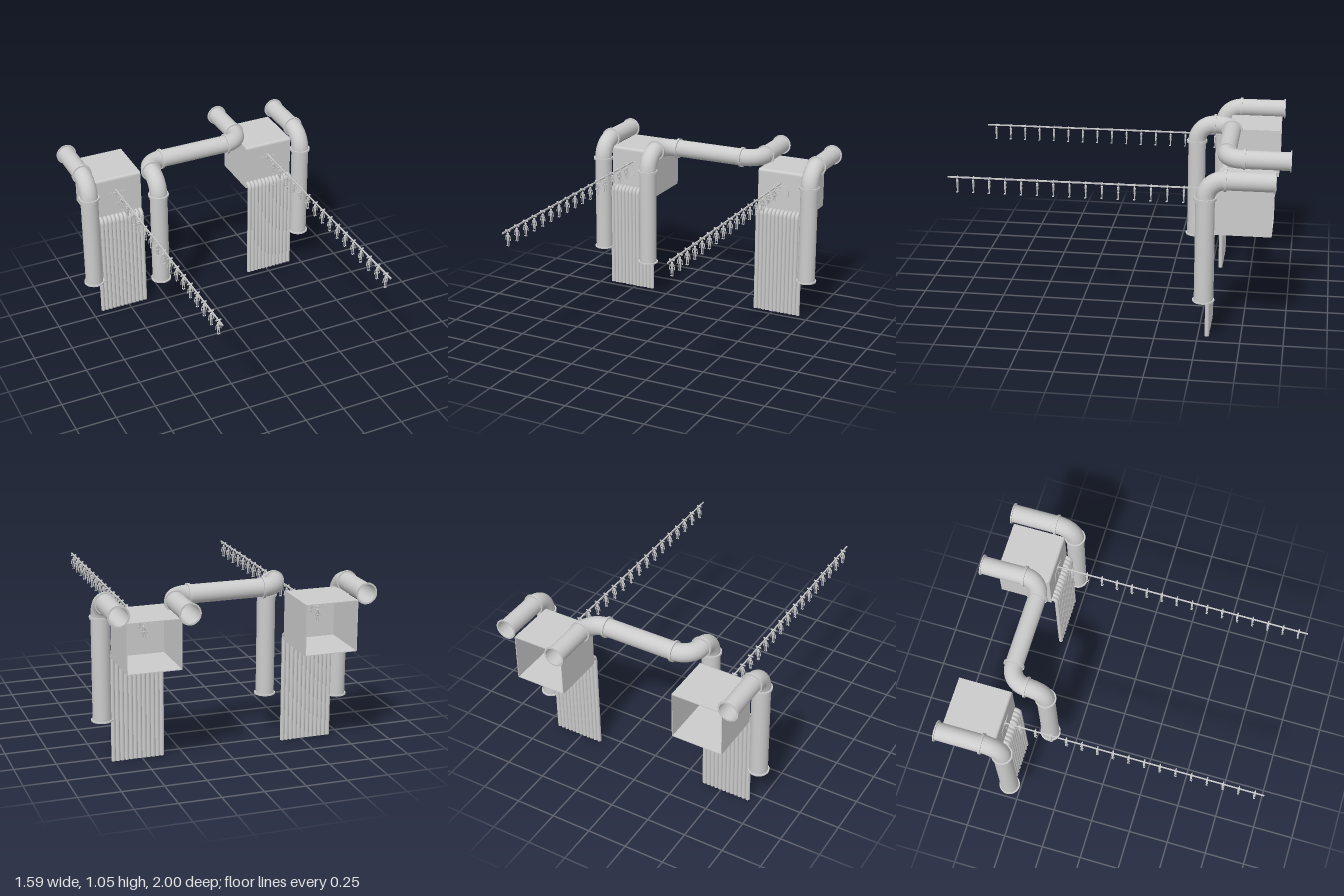
import * as THREE from 'three';

const grey = new THREE.MeshStandardMaterial({ color: 0xcccccc, side: THREE.DoubleSide });
const UP = new THREE.Vector3(0, 1, 0);
const V = (x, y, z) => new THREE.Vector3(x, y, z);

function add(parent, name, geometry, x = 0, y = 0, z = 0) {
  const mesh = new THREE.Mesh(geometry, grey);
  mesh.name = name;
  mesh.position.set(x, y, z);
  parent.add(mesh);
  return mesh;
}

function subgroup(parent, name, x = 0, y = 0, z = 0) {
  const g = new THREE.Group();
  g.name = name;
  g.position.set(x, y, z);
  parent.add(g);
  return g;
}

// Hollow duct: straight runs, rounded elbows and a flange at the end of every run
const R = 0.055, BEND = 0.112;
function duct(parent, name, points) {
  const g = subgroup(parent, name);
  const last = points.length - 1;
  const flange = (at, dir, h) => {
    const profile = [[0.054, -h], [0.064, -h], [0.064, h], [0.054, h], [0.054, -h]]
      .map(p => new THREE.Vector2(...p));
    const ring = add(g, 'flange', new THREE.LatheGeometry(profile, 32), at.x, at.y, at.z);
    ring.geometry = ring.geometry.toNonIndexed();
    ring.geometry.computeVertexNormals();
    ring.quaternion.setFromUnitVectors(UP, dir);
  };
  for (let i = 0; i < last; i++) {
    const dir = points[i + 1].clone().sub(points[i]).normalize();
    const a = points[i].clone().addScaledVector(dir, i > 0 ? BEND : 0);
    const b = points[i + 1].clone().addScaledVector(dir, i + 1 < last ? -BEND : 0);
    const length = a.distanceTo(b);
    if (length > 0.01) {
      const mid = a.clone().lerp(b, 0.5);
      const run = add(g, 'ductRun', new THREE.CylinderGeometry(R, R, length, 32, 1, true), mid.x, mid.y, mid.z);
      run.quaternion.setFromUnitVectors(UP, dir);
      flange(a, dir, i > 0 ? 0.007 : 0.004);
    }
    flange(b, dir, i + 1 < last ? 0.007 : 0.004);
    if (i + 1 < last) {
      const c = points[i + 1];
      const out = points[i + 2].clone().sub(c).normalize();
      const end = c.clone().addScaledVector(out, BEND);
      const k = 0.5523 * BEND;
      const arc = new THREE.CubicBezierCurve3(b, b.clone().addScaledVector(dir, k),
        end.clone().addScaledVector(out, -k), end);
      add(g, 'elbow', new THREE.TubeGeometry(arc, 14, R, 32));
    }
  }
}

// Housing open at the back: one bent sheet for top, front and bottom, plus two side sheets
const BACK = -0.91, FRONT = -0.582, W = 0.32;
function housing(parent, name, x, top) {
  const g = subgroup(parent, name, x);
  const bottom = 0.64, t = 0.005, r = 0.018;
  const sheet = new THREE.Shape();
  sheet.moveTo(-BACK, bottom);
  sheet.lineTo(-FRONT, bottom);
  sheet.lineTo(-FRONT, top - r);
  sheet.quadraticCurveTo(-FRONT, top, -FRONT + r, top);
  sheet.lineTo(-BACK, top);
  sheet.lineTo(-BACK, top - t);
  sheet.lineTo(-FRONT + r, top - t);
  sheet.quadraticCurveTo(-FRONT + t, top - t, -FRONT + t, top - r);
  sheet.lineTo(-FRONT + t, bottom + t);
  sheet.lineTo(-BACK, bottom + t);
  const wrap = new THREE.ExtrudeGeometry(sheet, { depth: W, bevelEnabled: false, curveSegments: 6 });
  wrap.rotateY(Math.PI / 2);
  add(g, 'housingSheet', wrap, -W / 2);
  const side = new THREE.Shape([[-BACK, bottom], [-FRONT, bottom], [-FRONT, top - r],
    [-FRONT + 0.3 * r, top - 0.3 * r], [-FRONT + r, top], [-BACK, top]].map(p => new THREE.Vector2(...p)));
  for (const s of [-1, 1]) {
    const plate = new THREE.ExtrudeGeometry(side, { depth: t, bevelEnabled: false });
    plate.rotateY(Math.PI / 2);
    add(g, 'housingSide', plate, s * (W / 2 - t / 2) - t / 2);
  }
  add(g, 'hatchPanel', new THREE.BoxGeometry(0.115, 0.082, 0.004), -0.007, 0.804, FRONT + 0.001);
  // Row of hanging tubes that bend back into the front wall
  const n = 12, w = W / n, zc = -0.553;
  const path = new THREE.CurvePath();
  path.add(new THREE.LineCurve3(V(0, 0, zc), V(0, 0.645, zc)));
  path.add(new THREE.QuadraticBezierCurve3(V(0, 0.645, zc), V(0, 0.675, zc), V(0, 0.675, FRONT - 0.004)));
  const pts = [V(0, 0, zc), V(0, 0.3, zc), ...path.curves[1].getPoints(6)];
  const bend = new THREE.TubeGeometry(path.curves[1], 6, w / 2, 10);
  const straight = new THREE.CylinderGeometry(w / 2, w / 2, pts[2].y, 12);
  for (let i = 0; i < n; i++) {
    const px = (i + 0.5) * w - W / 2;
    add(g, 'hangingTube', straight, px, pts[2].y / 2, zc);
    add(g, 'tubeBend', bend, px);
  }
}

// Small jointed figure hung from a trolley; its origin is on the rail
const geo = {
  hook: new THREE.CylinderGeometry(0.002, 0.002, 0.016, 6),
  wheel: new THREE.TorusGeometry(0.005, 0.002, 6, 10),
  axle: new THREE.BoxGeometry(0.03, 0.004, 0.008),
  head: new THREE.SphereGeometry(0.0075, 10, 8),
  chest: new THREE.CylinderGeometry(0.011, 0.006, 0.022, 8).scale(1, 1, 0.65),
  hips: new THREE.SphereGeometry(0.007, 8, 6),
  arm: new THREE.CapsuleGeometry(0.003, 0.026, 2, 6),
  thigh: new THREE.CylinderGeometry(0.0045, 0.003, 0.02, 6),
  shin: new THREE.CylinderGeometry(0.0035, 0.002, 0.018, 6),
  foot: new THREE.BoxGeometry(0.005, 0.004, 0.012),
};
function figure(parent, x, y, z) {
  const g = subgroup(parent, 'hangingFigure', x, y, z);
  add(g, 'trolleyAxle', geo.axle);
  add(g, 'hook', geo.hook, 0, -0.007, 0);
  add(g, 'head', geo.head, 0, -0.02, 0);
  add(g, 'chest', geo.chest, 0, -0.038, 0);
  add(g, 'hips', geo.hips, 0, -0.05, 0);
  for (const s of [-1, 1]) {
    add(g, 'trolleyWheel', geo.wheel, s * 0.012, 0, 0);
    add(g, 'arm', geo.arm, s * 0.0145, -0.045, 0).rotation.z = s * 0.15;
    add(g, 'thigh', geo.thigh, s * 0.005, -0.061, 0);
    add(g, 'shin', geo.shin, s * 0.005, -0.08, 0);
    add(g, 'foot', geo.foot, s * 0.005, -0.091, 0.003);
  }
}

// Overhead rail running forward out of the housing
function conveyor(parent, name, x) {
  const g = subgroup(parent, name);
  const y = 0.858, from = -0.7, to = 1;
  add(g, 'rail', new THREE.BoxGeometry(0.007, 0.009, to - from), x, y, (from + to) / 2);
  for (let i = 0; i < 18; i++) figure(g, x, y, 0.944 - i * 0.0955);
}

export function createModel() {
  const model = new THREE.Group();
  model.name = 'conveyorStation';
  const low = 0.255, high = 0.985;

  // Outer ducts
  for (const [name, x] of [['rightOuterDuct', -0.732], ['leftOuterDuct', 0.73]])
    duct(model, name, [V(x, low, -0.533), V(x, high, -0.533), V(x, high, -0.923)]);

  // Cross duct with three bends
  duct(model, 'crossDuct', [V(-0.328, low, -0.392), V(-0.328, high, -0.392),
    V(-0.328, high, -0.616), V(0.347, high, -0.616), V(0.347, high, -0.996)]);

  housing(model, 'rightHousing', -0.529, 0.945);
  housing(model, 'leftHousing', 0.524, 0.937);
  conveyor(model, 'rightConveyor', -0.537);
  conveyor(model, 'leftConveyor', 0.516);
  return model;
}
